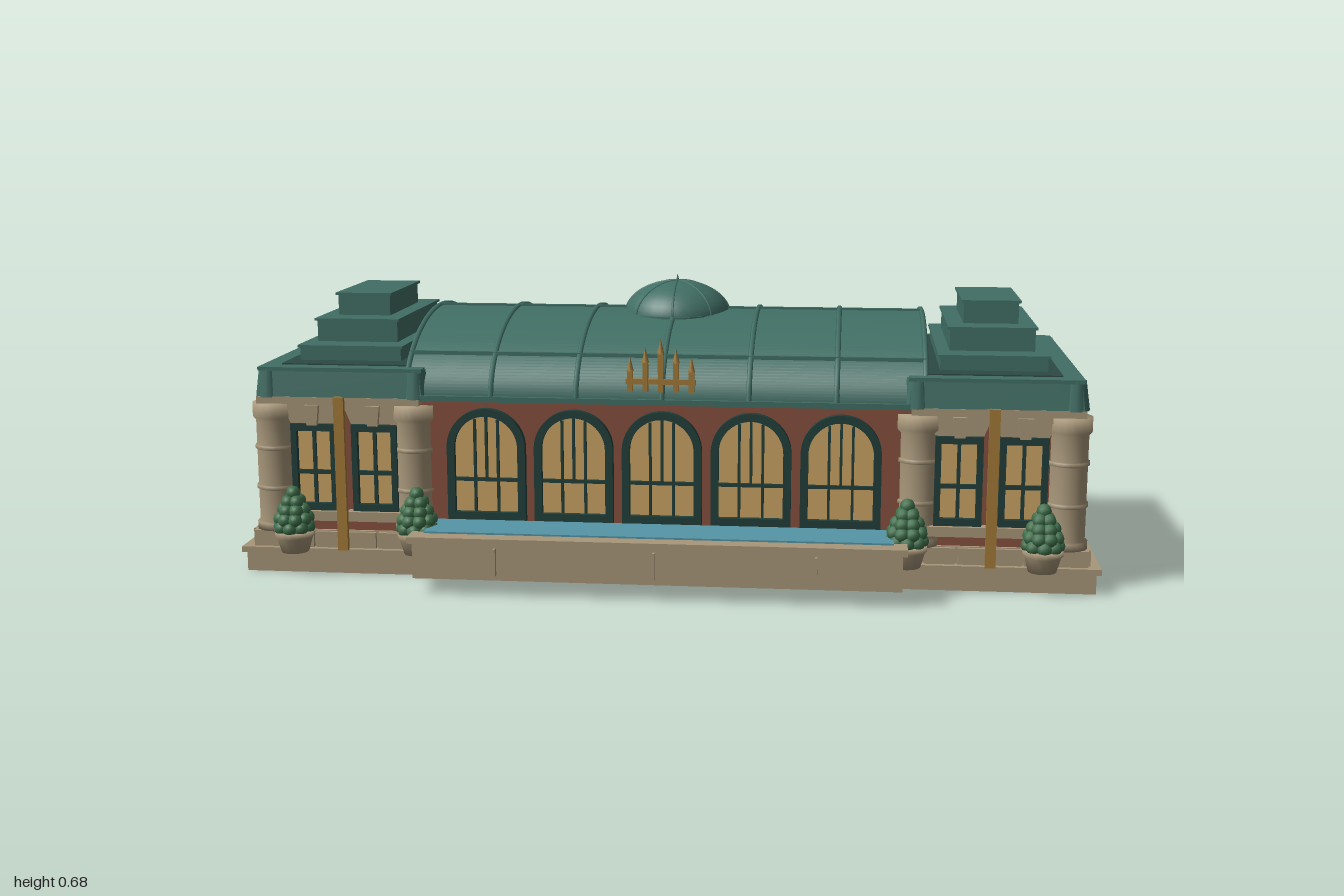
import * as THREE from 'three';

const mat = (name, color, side = THREE.FrontSide) => {
  const m = new THREE.MeshStandardMaterial({ color, side });
  m.name = name;
  return m;
};

export function createModel() {
  const root = new THREE.Group();
  root.name = 'pavilionHall';
  const stone = mat('stone', 0xa8977a), brick = mat('brick', 0x87503e), joint = mat('mortarJoint', 0x5a352b);
  const roof = mat('roofGreen', 0x416f65), deep = mat('deepGreen', 0x2c4a44), frame = mat('frameGreen', 0x213f3a);
  const glass = mat('litGlass', 0xcba564), water = mat('water', 0x5596a6), gold = mat('gold', 0xa37a38);
  const leaf = mat('leaf', 0x3f6f4b);

  const add = (name, geo, m, x = 0, y = 0, z = 0, parent = root) => {
    const mesh = new THREE.Mesh(geo, m);
    mesh.name = name;
    mesh.position.set(x, y, z);
    parent.add(mesh);
    return mesh;
  };
  // Box from its limits on each axis
  const box = (name, m, x0, x1, y0, y1, z0, z1, parent = root) =>
    add(name, new THREE.BoxGeometry(x1 - x0, y1 - y0, z1 - z0), m, (x0 + x1) / 2, (y0 + y1) / 2, (z0 + z1) / 2, parent);
  const ZC = -0.075, FRONT = 0.275, BACK = -0.425, SIDE = 0.94;

  // Group whose +z axis points out of a wall, at distance u along it
  const onWall = (name, wall, u) => {
    const g = new THREE.Group();
    g.name = name;
    if (wall === 'front') g.position.set(u, 0, FRONT);
    if (wall === 'back') { g.position.set(u, 0, BACK); g.rotation.y = Math.PI; }
    if (wall === 'left') { g.position.set(SIDE, 0, u); g.rotation.y = Math.PI / 2; }
    if (wall === 'right') { g.position.set(-SIDE, 0, u); g.rotation.y = -Math.PI / 2; }
    root.add(g);
    return g;
  };

  // Stepped stone base with a course of plinth blocks
  box('baseSlab', stone, -0.99, 0.99, 0, 0.046, -0.445, 0.297);
  box('baseLedge', stone, -1, 1, 0.046, 0.06, -0.458, 0.305);
  box('plinth', stone, -0.965, 0.965, 0.06, 0.1, -0.435, 0.283);
  for (let i = 0; i < 10; i++) {
    const z = 0.245 - i * 0.0725;
    if (i < 10) for (const s of [-1, 1]) box('plinthBlock', stone, s * 0.97 - 0.008, s * 0.97 + 0.008, 0.06, 0.098, z - 0.033, z + 0.033);
  }
  for (let i = 0; i < 26; i++) {
    const x = -0.9375 + i * 0.075;
    for (const z of [-0.438, 0.286]) box('plinthBlock', stone, x - 0.0345, x + 0.0345, 0.06, 0.098, z - 0.006, z + 0.006);
  }

  // Brick walls
  box('hallWalls', brick, -0.6, 0.6, 0.1, 0.425, BACK, FRONT);
  for (const s of [-1, 1]) {
    const a = s > 0 ? 0.58 : -SIDE, b = s > 0 ? SIDE : -0.58;
    box('wingWalls', brick, a, b, 0.1, 0.4, BACK, FRONT);
    box('wingCornice', stone, a - 0.014, b + 0.014, 0.39, 0.42, BACK - 0.022, FRONT + 0.016);
  }

  // Staggered mortar joints
  const joints = (wall, us) => us.forEach((u, i) => {
    const g = onWall('mortarJoints', wall, u);
    for (let k = 0; k < 3; k++) {
      const y = 0.15 + (i % 2) * 0.045 + k * 0.09;
      if (y < 0.38) box('joint', joint, -0.0015, 0.0015, y - 0.022, y + 0.022, 0, 0.002, g);
    }
  });
  joints('left', [-0.057, -0.112, -0.34, 0.19]);
  joints('right', [-0.057, -0.112, -0.34, 0.19]);
  joints('back', [-0.5, -0.24, -0.18, -0.13, 0.13, 0.18, 0.24, 0.5]);
  for (const u of [-0.51, -0.185, 0.185, 0.51]) {
    const g = onWall('brickCourses', 'back', u);
    const w = Math.abs(u) > 0.4 ? 0.035 : 0.08;
    for (let y = 0.127; y < 0.4; y += 0.045) box('course', joint, -w, w, y - 0.0012, y + 0.0012, 0, 0.002, g);
  }

  // Rectangular window with sill, splayed lintel and keystone
  const windowUnit = (wall, u, w) => {
    const g = onWall('window', wall, u), h = w / 2, t = w > 0.13 ? 0.018 : 0.014;
    box('glass', glass, -h + t, h - t, 0.165, 0.342, 0, 0.004, g);
    for (const s of [-1, 1]) box('frameSide', frame, s * (h - t / 2) - t / 2, s * (h - t / 2) + t / 2, 0.15, 0.357, 0, 0.018, g);
    box('frameTop', frame, -h, h, 0.34, 0.357, 0, 0.018, g);
    box('frameBottom', frame, -h, h, 0.15, 0.167, 0, 0.018, g);
    box('mullion', frame, -0.004, 0.004, 0.165, 0.342, 0, 0.011, g);
    box('transom', frame, -h + t, h - t, 0.236, 0.246, 0, 0.011, g);
    const over = w > 0.13 ? 0.028 : 0.014;
    box('sill', stone, -h - over, h + over, 0.127, 0.15, 0, 0.028, g);
    const lintel = new THREE.Shape([[-h, 0.358], [h, 0.358], [h + over, 0.393], [-h - over, 0.393]].map(p => new THREE.Vector2(...p)));
    add('lintel', new THREE.ExtrudeGeometry(lintel, { depth: 0.014, bevelEnabled: false }), stone, 0, 0, 0, g);
    const key = new THREE.Shape([[-0.012, 0.355], [0.012, 0.355], [0.017, 0.402], [-0.017, 0.402]].map(p => new THREE.Vector2(...p)));
    add('keystone', new THREE.ExtrudeGeometry(key, { depth: 0.026, bevelEnabled: false }), stone, 0, 0, 0, g);
  };
  for (const wall of ['left', 'right']) for (const z of [0.075, -0.228]) windowUnit(wall, z, 0.184);
  for (const wall of ['front', 'back']) for (const x of [-0.82, -0.675, 0.675, 0.82]) windowUnit(wall, x, 0.108);
  for (const x of [-0.37, 0, 0.37]) windowUnit('back', x, 0.184);

  // Arched windows across the front
  const archShape = (Cls, r, y0, yc) => {
    const s = new Cls();
    s.moveTo(-r, y0);
    s.lineTo(r, y0);
    s.lineTo(r, yc);
    s.absarc(0, yc, r, 0, Math.PI, false);
    s.closePath();
    return s;
  };
  for (let i = -2; i <= 2; i++) {
    const g = onWall('archWindow', 'front', i * 0.205), yc = 0.308;
    const ring = archShape(THREE.Shape, 0.092, 0.135, yc);
    ring.holes.push(archShape(THREE.Path, 0.074, 0.155, yc));
    add('archFrame', new THREE.ExtrudeGeometry(ring, { depth: 0.018, bevelEnabled: false, curveSegments: 16 }), frame, 0, 0, 0, g);
    add('archGlass', new THREE.ShapeGeometry(archShape(THREE.Shape, 0.076, 0.15, yc), 16), glass, 0, 0, 0.004, g);
    for (const x of [-0.027, 0.027]) box('mullion', frame, x - 0.003, x + 0.003, 0.15, 0.374, 0.003, 0.012, g);
    box('centreMullion', frame, -0.003, 0.003, 0.235, 0.38, 0.003, 0.012, g);
    box('transom', frame, -0.074, 0.074, 0.228, 0.236, 0.003, 0.012, g);
  }

  // Banded corner columns
  const profile = [[0, 0.1], [0.051, 0.1], [0.051, 0.117], [0.045, 0.12], [0.045, 0.196], [0.049, 0.198], [0.049, 0.206],
    [0.045, 0.208], [0.045, 0.292], [0.049, 0.294], [0.049, 0.302], [0.045, 0.304], [0.045, 0.362], [0.052, 0.37],
    [0.052, 0.403], [0, 0.404]].map(p => new THREE.Vector2(...p));
  const columnGeo = THREE.LatheGeometry ? new THREE.LatheGeometry(profile, 20) : null;
  for (const x of [-0.92, -0.585, 0.585, 0.92]) for (const z of [0.258, -0.41]) add('column', columnGeo, stone, x, 0, z);

  // Box that narrows towards its top by the given inset
  const taperBox = (w, h, d, inset) => {
    const geo = new THREE.BoxGeometry(w, h, d), p = geo.attributes.position;
    for (let i = 0; i < p.count; i++) if (p.getY(i) > 0) {
      p.setX(i, p.getX(i) - Math.sign(p.getX(i)) * inset);
      p.setZ(i, p.getZ(i) - Math.sign(p.getZ(i)) * inset);
    }
    geo.computeVertexNormals();
    return geo;
  };

  // Wing roofs: sloped parapet, corner caps and three stepped tiers
  for (const s of [-1, 1]) {
    const cx = s * 0.754;
    add('parapet', taperBox(0.39, 0.064, 0.73, 0.008), roof, cx, 0.451, ZC);
    box('parapetLip', roof, cx - 0.195, cx + 0.195, 0.48, 0.489, ZC - 0.362, ZC + 0.362);
    box('roofWell', deep, cx - 0.15, cx + 0.15, 0.489, 0.492, ZC - 0.325, ZC + 0.32);
    for (let i = 0; i < 11; i++) {
      const z = ZC - 0.3 + i * 0.06;
      box('parapetSeam', roof, s * 0.947 - 0.004, s * 0.947 + 0.004, 0.42, 0.482, z - 0.002, z + 0.002);
    }
    for (const dx of [-0.175, 0.175]) for (const dz of [-0.338, 0.338])
      add('cornerCap', new THREE.CylinderGeometry(0.024, 0.034, 0.068, 8), roof, cx + dx, 0.452, ZC + dz);
    for (const [hx, hz, y0, y1] of [[0.122, 0.265, 0.489, 0.528], [0.098, 0.2, 0.526, 0.584], [0.064, 0.135, 0.58, 0.639]]) {
      box('roofTier', roof, cx - hx, cx + hx, y0, y1 - 0.006, ZC - hz, ZC + hz);
      box('tierCap', roof, cx - hx - 0.005, cx + hx + 0.005, y1 - 0.006, y1, ZC - hz - 0.006, ZC + hz + 0.006);
    }
  }

  // Barrel roof with brick gables and raised seams
  const A = 0.357, B = 0.175, Y0 = 0.42;
  const vault = new THREE.Shape();
  vault.absellipse(0, 0, A, B, 0, Math.PI, false);
  vault.closePath();
  const vaultGeo = new THREE.ExtrudeGeometry(vault, { depth: 1.2, bevelEnabled: false, curveSegments: 40 });
  add('barrelRoof', vaultGeo, [brick, roof], -0.6, Y0, ZC).rotation.y = Math.PI / 2;
  const arc = new THREE.CatmullRomCurve3(Array.from({ length: 25 }, (_, i) => {
    const t = Math.PI * i / 24;
    return new THREE.Vector3(0, B * Math.sin(t), A * Math.cos(t));
  }));
  const seamGeo = new THREE.TubeGeometry(arc, 36, 0.0065, 6);
  for (let i = -3; i <= 3; i++) add('roofSeam', seamGeo, roof, i * 0.199, Y0, ZC);
  for (const dz of [-0.26, 0, 0.295]) {
    const y = Y0 + B * Math.sqrt(1 - (dz / A) ** 2);
    box('longSeam', roof, -0.6, 0.6, y - 0.005, y + 0.005, ZC + dz - 0.005, ZC + dz + 0.005);
  }
  for (const dz of [-A, A]) box('eaves', roof, -0.57, 0.57, 0.415, 0.428, ZC + dz - 0.008, ZC + dz + 0.008);

  // Central dome with ribs and finial
  const dome = add('dome', new THREE.SphereGeometry(0.13, 32, 12, 0, Math.PI * 2, 0, Math.PI / 2), roof, 0, 0.578, ZC);
  dome.scale.y = 0.66;
  for (let i = 0; i < 4; i++) {
    const rib = add('domeRib', new THREE.TorusGeometry(0.13, 0.003, 5, 24, Math.PI), roof, 0, 0.578, ZC);
    rib.scale.y = 0.66;
    rib.rotation.y = i * Math.PI / 4;
  }
  add('domeRing', new THREE.CylinderGeometry(0.133, 0.133, 0.016, 32), roof, 0, 0.58, ZC);
  add('finial', new THREE.ConeGeometry(0.005, 0.022, 8), roof, 0, 0.669, ZC);

  // Gilded crest above the middle arch, and tall gilded strips on the wings
  for (let i = -2; i <= 2; i++) {
    const top = 0.55 - Math.abs(i) * 0.02;
    box('crestBar', gold, i * 0.035 - 0.006, i * 0.035 + 0.006, 0.45, top - 0.01, 0.3, 0.312);
    add('crestTip', new THREE.ConeGeometry(0.009, 0.034, 6), gold, i * 0.035, top + 0.004, 0.306);
  }
  box('crestRail', gold, -0.08, 0.08, 0.467, 0.479, 0.299, 0.31);
  for (const s of [-1, 1]) box('giltStrip', gold, s * 0.75 - 0.012, s * 0.75 + 0.012, 0.06, 0.425, 0.305, 0.317);

  // Front pool
  box('poolBody', stone, -0.55, 0.55, 0.037, 0.122, 0.28, 0.45);
  box('poolRim', stone, -0.56, 0.56, 0.12, 0.135, 0.405, 0.46);
  box('water', water, -0.53, 0.53, 0.122, 0.139, 0.3, 0.42);
  for (const x of [-0.36, 0, 0.36]) box('poolJoint', stone, x - 0.003, x + 0.003, 0.05, 0.112, 0.45, 0.462);

  // Potted shrubs
  const potProfile = [[0, 0], [0.032, 0], [0.042, 0.035], [0.046, 0.038], [0.046, 0.05], [0, 0.05]].map(p => new THREE.Vector2(...p));
  const potGeo = new THREE.LatheGeometry(potProfile, 14), leafGeo = new THREE.IcosahedronGeometry(0.017, 1);
  const shrub = (x, y, z) => {
    const g = new THREE.Group();
    g.name = 'pottedShrub';
    g.position.set(x, y, z);
    root.add(g);
    add('pot', potGeo, stone, 0, 0, 0, g);
    add('shrubCore', new THREE.ConeGeometry(0.038, 0.1, 9), leaf, 0, 0.097, 0, g);
    [[8, 0.033, 0.06], [8, 0.031, 0.08], [6, 0.023, 0.1], [4, 0.014, 0.12], [1, 0, 0.14]].forEach(([n, r, h], k) => {
      for (let i = 0; i < n; i++) {
        const a = (i + k / 2) / n * Math.PI * 2;
        add('leafCluster', leafGeo, leaf, r * Math.cos(a), h, r * Math.sin(a), g);
      }
    });
  };
  for (const s of [-1, 1]) {
    shrub(s * 0.56, 0.07, 0.355);
    shrub(s * 0.865, 0.057, 0.318);
  }
  return root;
}
